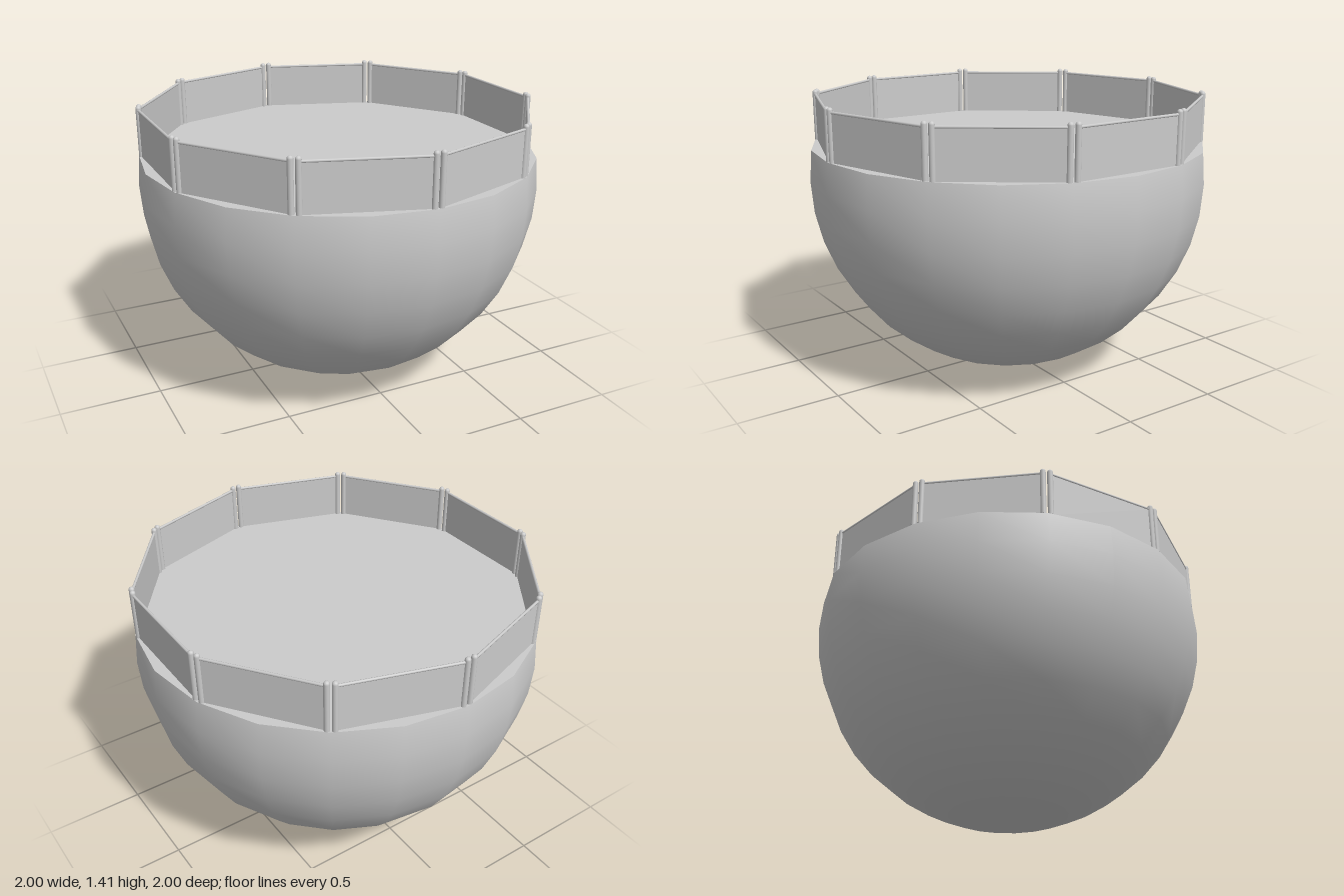
import * as THREE from 'three';

const SIDES = 10, APOTHEM = 0.93, HALF = 0.284;
const DECK_Y = 1 + Math.cos(Math.PI * 0.45);
const DECK_R = Math.sin(Math.PI * 0.45);
const RAIL_Y = 1.386, POST_R = 0.014;

const material = new THREE.MeshStandardMaterial({ color: 0xcccccc });

function add(parent, name, geometry, x = 0, y = 0, z = 0) {
  const mesh = new THREE.Mesh(geometry, material);
  mesh.name = name;
  mesh.position.set(x, y, z);
  parent.add(mesh);
  return mesh;
}

export function createModel() {
  const model = new THREE.Group();
  model.name = 'fencedBowl';

  // Smooth bowl, cut one ring above its equator
  add(model, 'bowl', new THREE.SphereGeometry(1, 20, 11, 0, Math.PI * 2, Math.PI * 0.45, Math.PI * 0.55), 0, 1, 0);

  // Flat deck closing the bowl
  add(model, 'deck', new THREE.CircleGeometry(DECK_R, 20).rotateX(-Math.PI / 2), 0, DECK_Y, 0);

  // Shared fence geometries
  const panelH = RAIL_Y - DECK_Y;
  const postH = 1.396 - DECK_Y;
  const panelGeo = new THREE.BoxGeometry(HALF * 2, panelH, 0.006);
  const railGeo = new THREE.CylinderGeometry(0.007, 0.007, HALF * 2, 8).rotateZ(Math.PI / 2);
  const postGeo = new THREE.CylinderGeometry(POST_R, POST_R, postH, 12);
  const knobGeo = new THREE.SphereGeometry(POST_R, 12, 8);

  // Ten fence sections, each with a panel, top rail and two capped posts
  for (let i = 0; i < SIDES; i++) {
    const section = new THREE.Group();
    section.name = 'fenceSection';
    section.rotation.y = ((i + 0.5) / SIDES) * Math.PI * 2;
    add(section, 'panel', panelGeo, 0, DECK_Y + panelH / 2, APOTHEM);
    add(section, 'topRail', railGeo, 0, RAIL_Y, APOTHEM);
    for (const side of [-1, 1]) {
      add(section, 'post', postGeo, side * HALF, DECK_Y + postH / 2, APOTHEM);
      add(section, 'postCap', knobGeo, side * HALF, 1.396, APOTHEM);
    }
    model.add(section);
  }
  return model;
}
